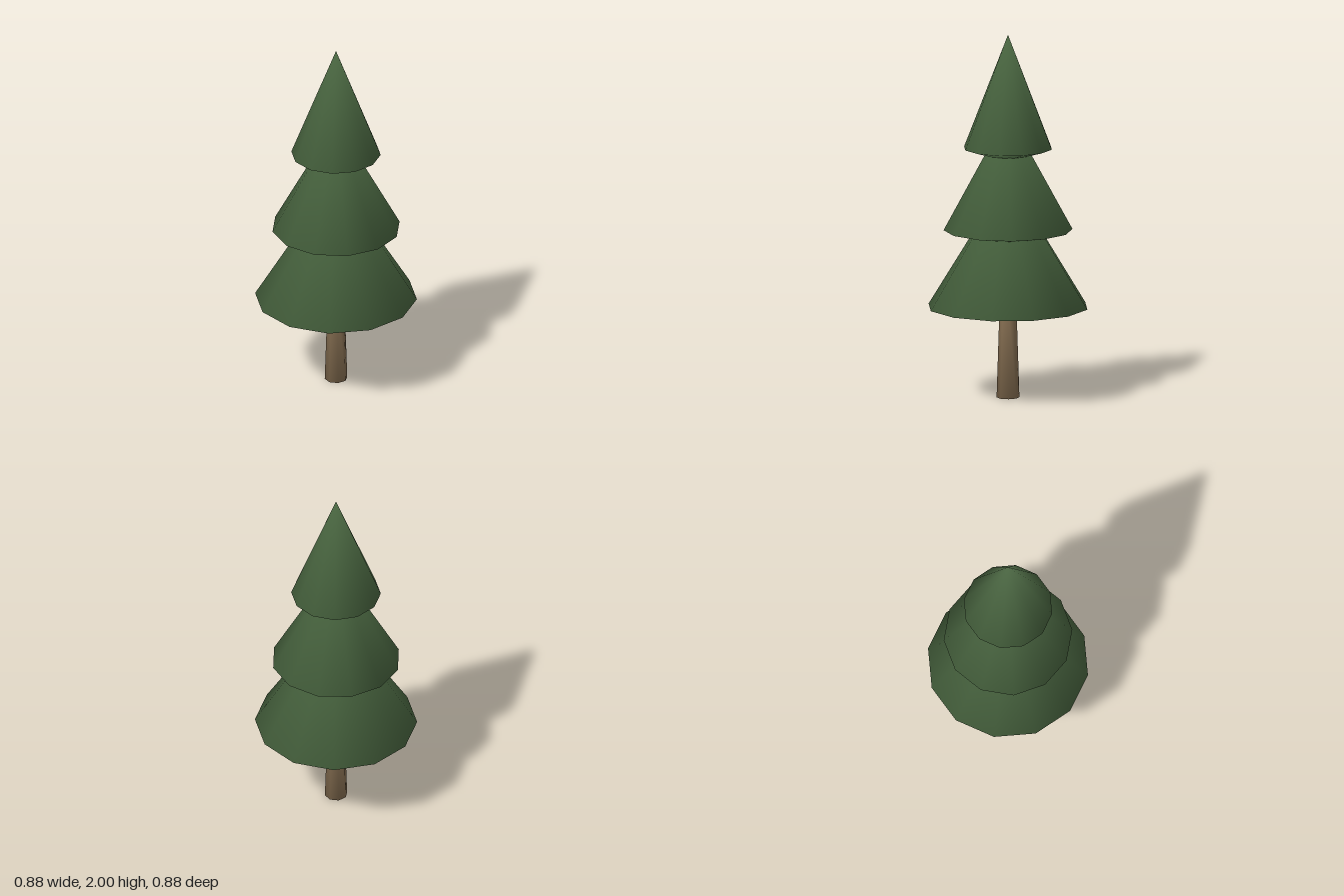
import * as THREE from 'three';

// Smooth lathe whose normals are given per profile row as [x, y, normalOut, normalUp]
function turned(name, rows, sides, phase, material) {
  const points = rows.map(([x, y]) => new THREE.Vector2(x, y));
  const geometry = new THREE.LatheGeometry(points, sides, phase, Math.PI * 2);
  const normal = geometry.attributes.normal;
  const n = new THREE.Vector3();
  for (let i = 0; i < normal.count; i++) {
    const [, , out, up] = rows[i % rows.length];
    const angle = phase + (Math.floor(i / rows.length) / sides) * Math.PI * 2;
    n.set(Math.sin(angle) * out, up, Math.cos(angle) * out).normalize();
    normal.setXYZ(i, n.x, n.y, n.z);
  }
  const mesh = new THREE.Mesh(geometry, material);
  mesh.name = name;
  return mesh;
}

export function createModel() {
  const needleGreen = new THREE.MeshStandardMaterial({ name: 'needleGreen', color: 0x4a6741 });
  const barkBrown = new THREE.MeshStandardMaterial({ name: 'barkBrown', color: 0x8b7355 });

  const tree = new THREE.Group();
  tree.name = 'pineTree';

  // Tapered trunk with a softly shaded foot
  tree.add(turned('trunk', [
    [0, 0, 0, -1],
    [0.062, 0, 1, -0.5],
    [0.046, 0.5, 1, 0.03],
  ], 8, 0, barkBrown));

  // Stacked cones with shallow pointed undersides; the middle one is turned half a side
  const tiers = [
    { name: 'lowerBranches', radius: 0.44, under: 0.427, rim: 0.5, tip: 1.22, phase: 0 },
    { name: 'middleBranches', radius: 0.35, under: 0.855, rim: 0.925, tip: 1.57, phase: Math.PI / 12 },
    { name: 'upperBranches', radius: 0.243, under: 1.305, rim: 1.375, tip: 2, phase: 0 },
  ];
  for (const { name, radius, under, rim, tip, phase } of tiers) {
    tree.add(turned(name, [
      [0, under, 0, -1],
      [radius, rim, 1, -0.11],
      [0, tip, 0, 1],
    ], 12, phase, needleGreen));
  }
  return tree;
}
